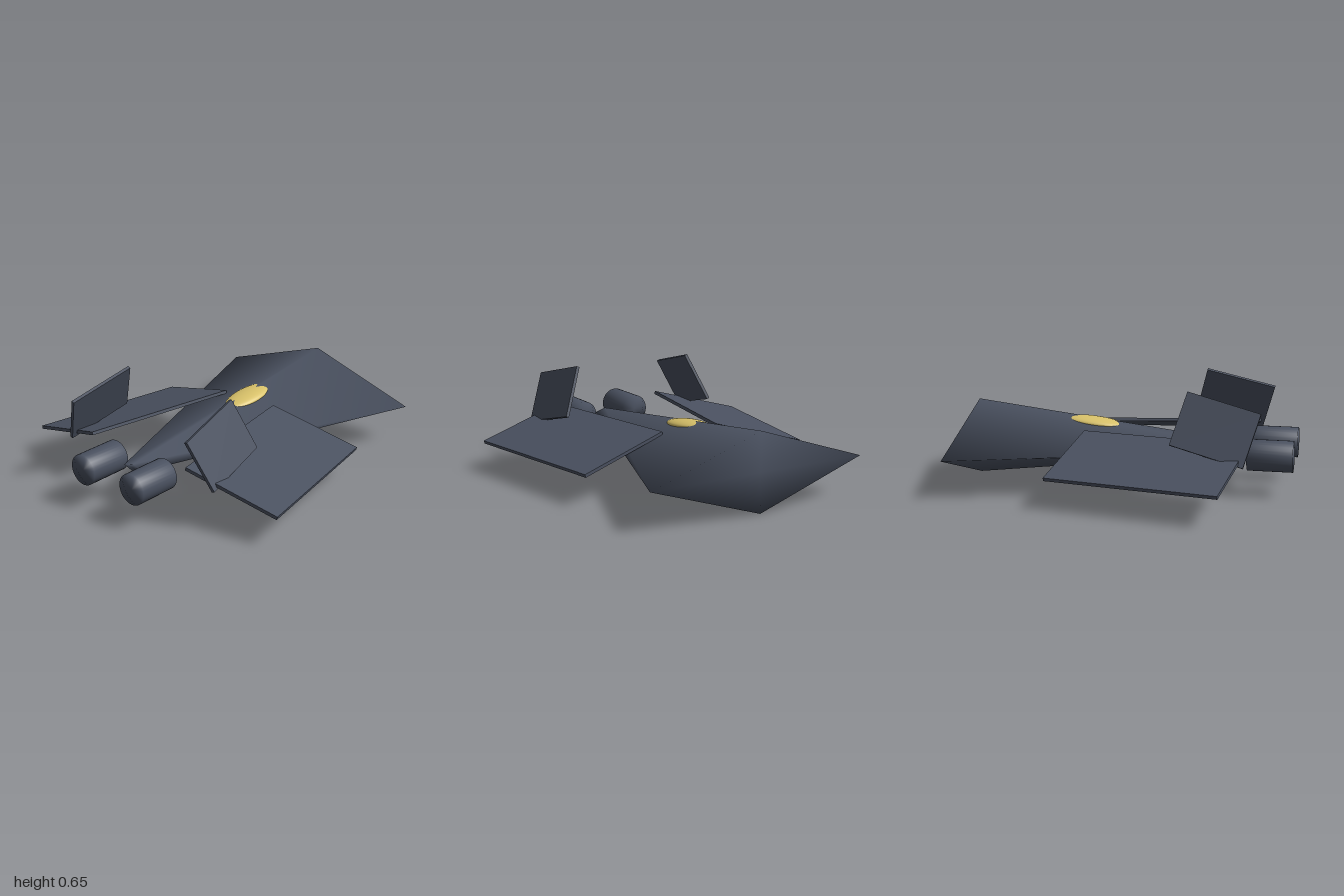
import * as THREE from 'three';
import { mergeVertices } from 'three/addons/utils/BufferGeometryUtils.js';

const hull = new THREE.MeshStandardMaterial({ color: 0x4a5160 });
const gold = new THREE.MeshStandardMaterial({ color: 0xd9c26a });

// Weld all corners so shading runs smoothly over the edges and end caps
function weld(geometry) {
  geometry.deleteAttribute('normal');
  geometry.deleteAttribute('uv');
  const welded = mergeVertices(geometry);
  welded.computeVertexNormals();
  return welded;
}

// Cylinder lying along z, with its top radius towards +z
function cylinderZ(rFront, rBack, length, sides) {
  return new THREE.CylinderGeometry(rFront, rBack, length, sides).rotateX(Math.PI / 2);
}

export function createModel() {
  const model = new THREE.Group();
  const add = (name, geometry, material, x, y, z) => {
    const mesh = new THREE.Mesh(geometry, material);
    mesh.name = name;
    mesh.position.set(x, y, z);
    model.add(mesh);
    return mesh;
  };

  // Four-sided tapering fuselage, wide at the back
  const body = cylinderZ(0.1, 1, 1.79, 4).scale(0.712, 0.2375, 1);
  add('fuselage', weld(body), hull, 0, 0.2375, -0.105);

  // Flattened canopy breaking through the ridge
  const canopy = new THREE.SphereGeometry(1, 40, 28).scale(0.09, 0.032, 0.195);
  add('canopy', canopy, gold, 0, 0.358, -0.25).rotation.x = 0.1;

  const wingGeometry = new THREE.BoxGeometry(0.6, 0.02, 1.036);
  const finGeometry = new THREE.BoxGeometry(0.02, 0.328, 0.445);
  const engineGeometry = weld(cylinderZ(0.094, 0.094, 0.27, 32));

  for (const [side, s] of [['left', 1], ['right', -1]]) {
    // Drooping swept wing
    const wing = add(side + 'Wing', wingGeometry, hull, s * 0.565, 0.255, 0.19);
    wing.rotation.set(0, s * Math.PI / 18, -s * Math.PI / 12);

    // Inward-leaning fin
    const fin = add(side + 'Fin', finGeometry, hull, s * 0.483, 0.447, 0.57);
    fin.rotation.set(Math.PI / 12, 0, s * 0.4, 'ZYX');

    // Engine pod
    add(side + 'Engine', engineGeometry, hull, s * 0.193, 0.241, 0.865);
  }
  return model;
}
